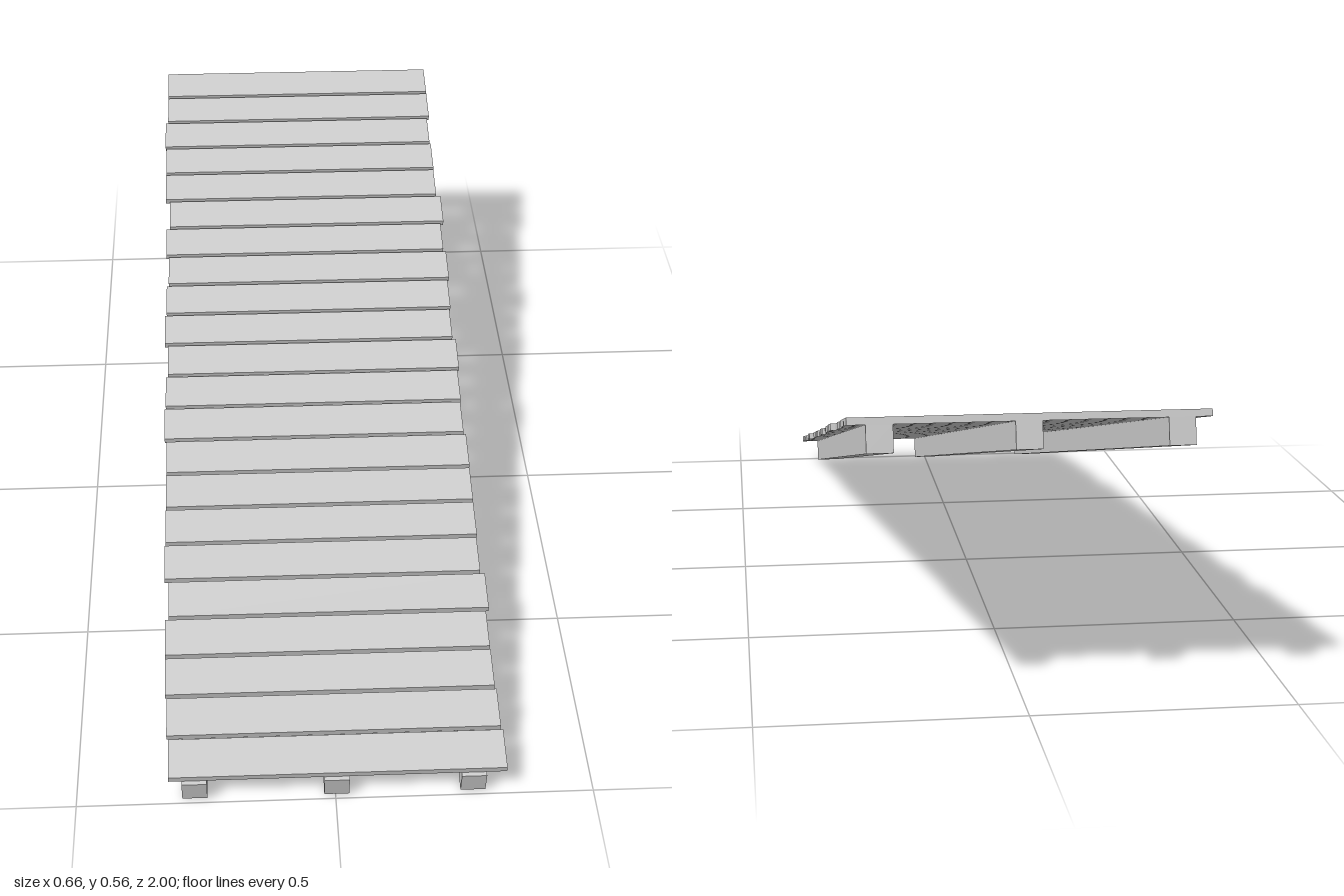
import * as THREE from 'three';

const ANGLE = Math.atan(0.25);
const LENGTH = 2.049;          // along the slope
const JOIST_W = 0.0485, JOIST_H = 0.0505;
const PLANK_L = 0.652, PLANK_T = 0.0135, GAP = 0.0085;

// Sideways shift of every plank in thousandths, from the low front end upwards
const SHIFTS = [4.5, 1, -2, -2.5, 4.5, -4.5, -2.5, -2, -1, -5.5, -3.5,
  1, -6, -2.5, 2, -3.5, 4.5, -5.5, -4.5, -7, -1, -1];

export function createModel() {
  const model = new THREE.Group();
  model.name = 'woodenRamp';
  const material = new THREE.MeshStandardMaterial({ color: 0xcccccc, flatShading: true });

  // Sloped deck: low at the front, high at the back
  const deck = new THREE.Group();
  deck.name = 'slopedDeck';
  deck.rotation.x = ANGLE;
  deck.position.set(0, Math.sin(ANGLE) * LENGTH / 2, -Math.sin(ANGLE) * JOIST_H / 2);
  model.add(deck);

  const addBox = (name, w, h, d, x, y, z) => {
    const mesh = new THREE.Mesh(new THREE.BoxGeometry(w, h, d), material);
    mesh.name = name;
    mesh.position.set(x, y, z);
    deck.add(mesh);
  };

  // Three lengthwise joists
  [['rightJoist', -0.272], ['middleJoist', 0.0025], ['leftJoist', 0.267]].forEach(([name, x]) =>
    addBox(name, JOIST_W, JOIST_H, LENGTH, x, JOIST_H / 2, 0));

  // Cross planks, flush with the back end, each with a gap in front of it
  const pitch = LENGTH / SHIFTS.length;
  SHIFTS.forEach((shift, i) =>
    addBox(`plank${i + 1}`, PLANK_L, PLANK_T, pitch - GAP,
      shift / 1000, JOIST_H + PLANK_T / 2, LENGTH / 2 - pitch * (i + 0.5) - GAP / 2));

  return model;
}
